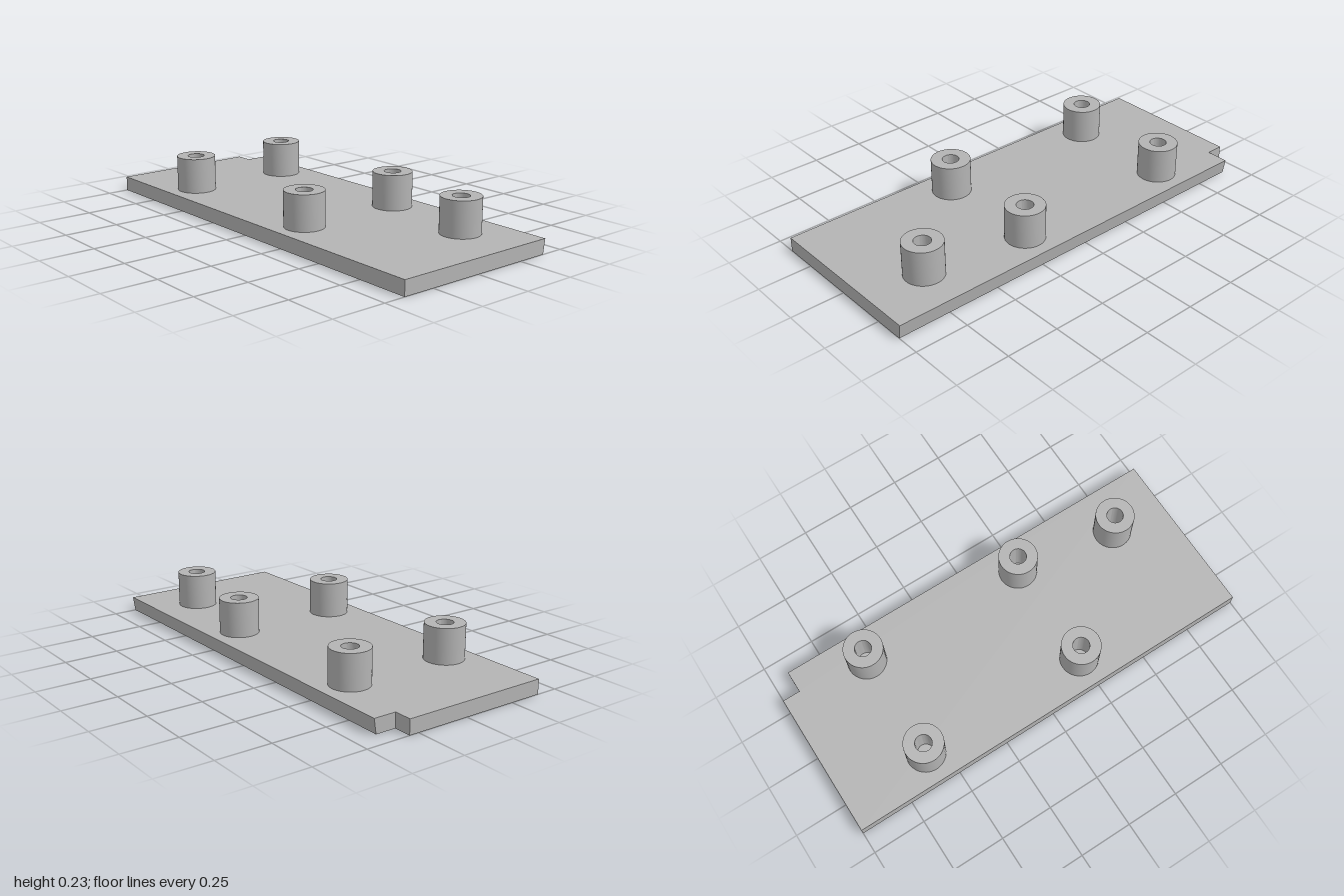
import * as THREE from 'three';
import { toCreasedNormals } from 'three/addons/utils/BufferGeometryUtils.js';

const PLATE_TOP = 0.068;
const POST_TOP = 0.231;

// Flat plate with one notched back corner and a slightly undercut back edge
function plateGeometry() {
  const outline = [
    [-1, 0.4], [1, 0.4], [1, -0.4], [-0.917, -0.4], [-0.917, -0.295], [-1, -0.295],
  ].map(([x, z]) => new THREE.Vector2(x, -z));
  const geometry = new THREE.ExtrudeGeometry(new THREE.Shape(outline), {
    depth: PLATE_TOP,
    bevelEnabled: false,
  });
  geometry.rotateX(-Math.PI / 2);

  // Pull the lower back edge inward
  const p = geometry.attributes.position;
  for (let i = 0; i < p.count; i++) {
    if (p.getY(i) < 0.01 && p.getZ(i) < -0.39) p.setZ(i, -0.39);
  }
  geometry.computeVertexNormals();
  return geometry;
}

// Hollow standoff: outer wall, rim and bore, with the plate as its floor
function postGeometry() {
  const outer = 0.09;
  const bore = 0.038;
  const profile = [
    [outer, PLATE_TOP], [outer, POST_TOP], [bore, POST_TOP], [bore, PLATE_TOP],
  ].map(([r, y]) => new THREE.Vector2(r, y));
  return toCreasedNormals(new THREE.LatheGeometry(profile, 48), Math.PI / 6);
}

export function createModel() {
  const model = new THREE.Group();
  model.name = 'mountingPlate';

  const grey = new THREE.MeshStandardMaterial({ color: 0xb3b3b3 });
  grey.name = 'grey';

  const plate = new THREE.Mesh(plateGeometry(), grey);
  plate.name = 'basePlate';
  model.add(plate);

  // Four posts in a rectangle, plus one offset post near the left end
  const posts = {
    frontRightPost: [-0.585, 0.256],
    backRightPost: [-0.585, -0.256],
    frontLeftPost: [0.234, 0.256],
    backLeftPost: [0.234, -0.256],
    endPost: [0.723, -0.186],
  };
  const geometry = postGeometry();
  for (const [name, [x, z]] of Object.entries(posts)) {
    const post = new THREE.Mesh(geometry, grey);
    post.name = name;
    post.position.set(x, 0, z);
    model.add(post);
  }
  return model;
}
